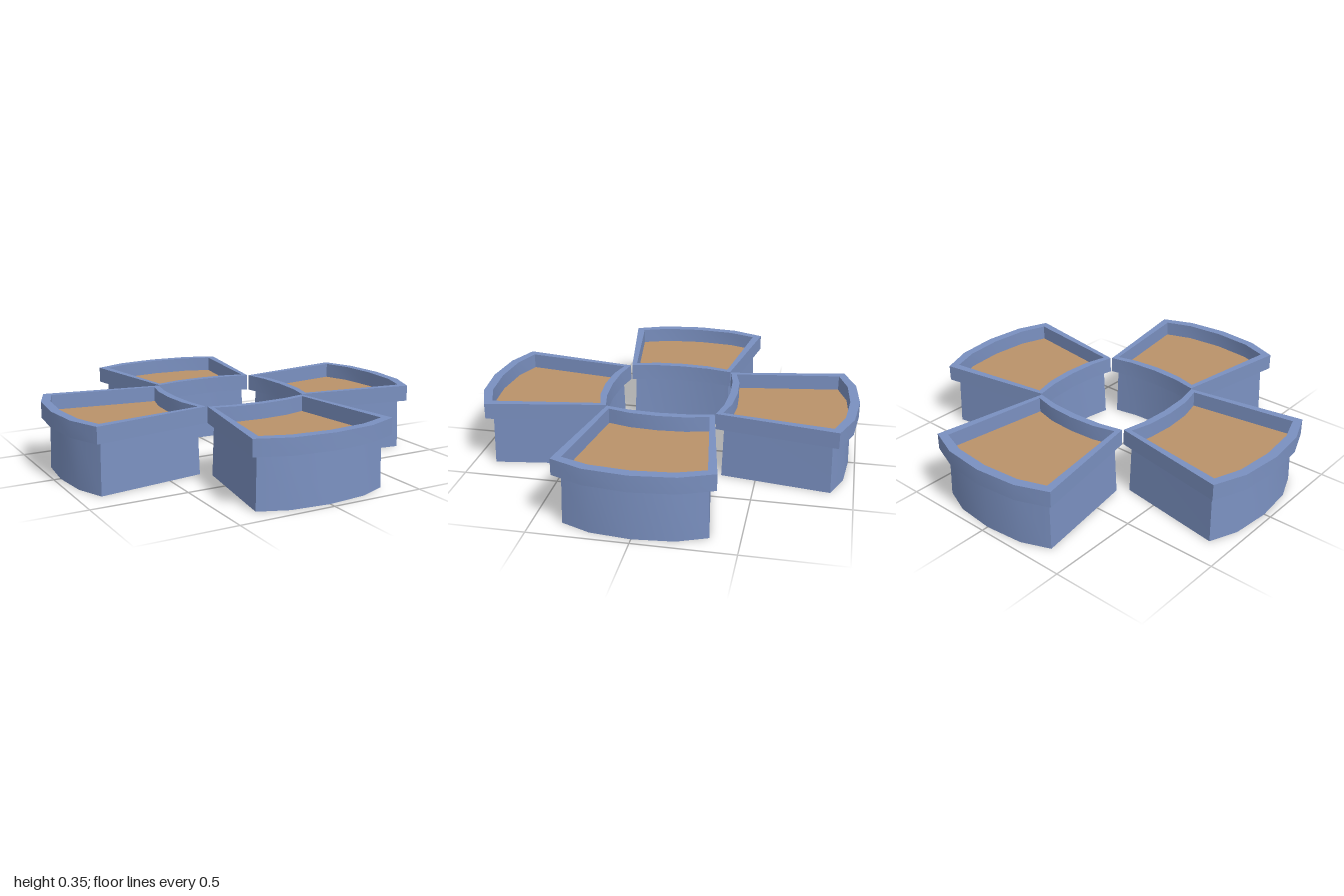
import * as THREE from 'three';
import { toCreasedNormals } from 'three/addons/utils/BufferGeometryUtils.js';

const blue = new THREE.MeshStandardMaterial({ color: 0x7a90c0 });
const earth = new THREE.MeshStandardMaterial({ color: 0xba926a });

// Mirrored wedge outline from half profiles [x, z]: outer arc and inner arc, each from corner to middle
function outline(outer, inner) {
  const flip = ([x, z]) => [-x, z];
  const mirrored = (half) => [...half, ...half.slice(0, -1).reverse().map(flip)];
  const points = [...mirrored(outer), ...mirrored(inner).reverse()];
  return points.map(([x, z]) => new THREE.Vector2(x, z));
}

const rimOuter = outline([[0.388, 0.91], [0.22, 0.977], [0, 1]], [[0.281, 0.287], [0.155, 0.313], [0, 0.322]]);
const rimInner = outline([[0.341, 0.882], [0.2, 0.932], [0, 0.95]], [[0.261, 0.322], [0.145, 0.352], [0, 0.362]]);
const bodyBase = outline([[0.354, 0.885], [0.205, 0.945], [0, 0.965]], [[0.273, 0.32], [0.15, 0.343], [0, 0.35]]);

// Upright prism of a plan shape between two heights
function prism(shape, bottom, top) {
  const geo = new THREE.ExtrudeGeometry(shape, { depth: top - bottom, bevelEnabled: false });
  return geo.rotateX(Math.PI / 2).translate(0, top, 0);
}

function addMesh(parent, name, geo, material) {
  const mesh = new THREE.Mesh(geo, material);
  mesh.name = name;
  parent.add(mesh);
}

export function createModel() {
  const model = new THREE.Group();
  model.name = 'planterRing';

  // Overhanging rim
  const rimShape = new THREE.Shape(rimOuter);
  rimShape.holes.push(new THREE.Path(rimInner));
  const rim = toCreasedNormals(prism(rimShape, 0.267, 0.352), 0.5);

  // Tub, slightly narrower at the top
  const tub = prism(new THREE.Shape(bodyBase), 0, 0.268);
  const pos = tub.attributes.position;
  for (let i = 0; i < pos.count; i++) {
    if (pos.getY(i) < 0.1) continue;
    pos.setX(i, pos.getX(i) * 0.98);
    pos.setZ(i, 0.65 + (pos.getZ(i) - 0.65) * 0.975);
  }
  const body = toCreasedNormals(tub, 0.5);

  // Soil surface
  const soil = new THREE.ShapeGeometry(new THREE.Shape(rimInner));
  soil.rotateX(Math.PI / 2).translate(0, 0.272, 0);
  const soilMaterial = earth.clone();
  soilMaterial.side = THREE.DoubleSide;

  // Four planters around the centre
  for (let k = 0; k < 4; k++) {
    const planter = new THREE.Group();
    planter.name = 'planter' + (k + 1);
    addMesh(planter, 'rim', rim, blue);
    addMesh(planter, 'tub', body, blue);
    addMesh(planter, 'soil', soil, soilMaterial);
    planter.rotation.y = k * Math.PI / 2;
    model.add(planter);
  }
  return model;
}
